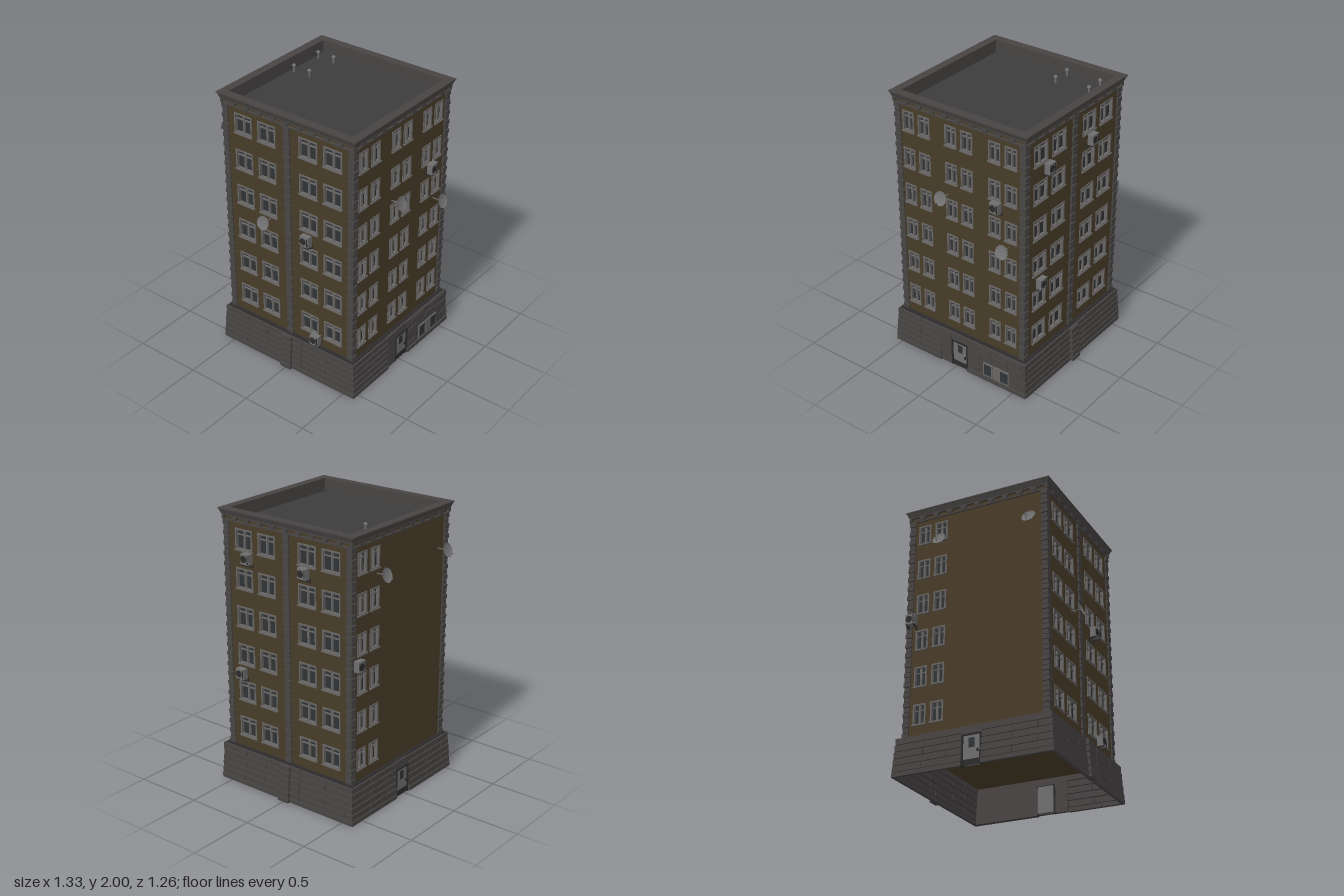
import * as THREE from 'three';
import { mergeGeometries } from 'three/addons/utils/BufferGeometryUtils.js';

const mat = (color, extra = {}) => new THREE.MeshStandardMaterial({ color, flatShading: true, ...extra });
const M = {
  wall: mat(0x483c28), stone: mat(0x484444, { side: THREE.DoubleSide }), dark: mat(0x2c2a2a, { side: THREE.DoubleSide }),
  roof: mat(0x3c3c3c), frame: mat(0x686664), glass: mat(0x303336), metal: mat(0x6e6e6e),
  dish: mat(0x707070, { side: THREE.DoubleSide }),
};
const HX = 0.535, HZ = 0.525;               // half sizes of the walls
const ROWS = [0, 1, 2, 3, 4, 5].map(i => 0.432 + i * 0.2737);

const box = (w, h, d, x = 0, y = 0, z = 0) => new THREE.BoxGeometry(w, h, d).translate(x, y, z);
const span = (x0, x1, y0, y1, z0, z1) =>
  box(x1 - x0, y1 - y0, z1 - z0, (x0 + x1) / 2, (y0 + y1) / 2, (z0 + z1) / 2);
function rod(a, b, r) {
  const curve = new THREE.LineCurve3(new THREE.Vector3(...a), new THREE.Vector3(...b));
  return new THREE.TubeGeometry(curve, 1, r, 5);
}
function add(parent, name, geo, material) {
  const mesh = new THREE.Mesh(Array.isArray(geo) ? mergeGeometries(geo) : geo, material);
  mesh.name = name;
  parent.add(mesh);
  return mesh;
}
// Four-sided ring swept from a profile of [half width, height]
function ring(profile) {
  const pts = profile.map(([r, y]) => new THREE.Vector2(r * Math.SQRT2, y));
  return new THREE.LatheGeometry(pts, 4, Math.PI / 4).scale(1, 1, HZ / HX);
}

// Wall sheet with window openings
function wall(face, half, windows, w) {
  const s = new THREE.Shape([[-half, 0.27], [half, 0.27], [half, 1.96], [-half, 1.96]].map(p => new THREE.Vector2(...p)));
  for (const u of windows) for (const y of ROWS) {
    const a = w / 2 - 0.004, b = 0.071;
    s.holes.push(new THREE.Path([[u - a, y - b], [u - a, y + b], [u + a, y + b], [u + a, y - b]].map(p => new THREE.Vector2(...p))));
  }
  add(face, 'wall', new THREE.ExtrudeGeometry(s, { depth: 0.025, bevelEnabled: false }).translate(0, 0, -0.025), M.wall);
}

// Casement window with mullion, transom and sill
function windowGeo(w) {
  const a = w / 2, b = 0.075, t = 0.011;
  return [
    span(-a, -a + t, -b, b, -0.02, 0.005), span(a - t, a, -b, b, -0.02, 0.005),
    span(-a, a, b - t, b, -0.02, 0.005), span(-a, a, -b, -b + t, -0.02, 0.005),
    span(-a - 0.003, a + 0.003, -b - 0.004, -b + 0.005, -0.01, 0.013),
    span(-0.007, 0.007, -b, b, -0.018, -0.004), span(-a, a, 0.027, 0.034, -0.018, -0.006),
  ];
}

// Air conditioner on two brackets
function airConditioner(face, u, y) {
  const g = new THREE.Group();
  g.name = 'airConditioner';
  add(g, 'case', box(0.07, 0.075, 0.042, 0, 0, 0.037), M.metal);
  const fan = new THREE.CylinderGeometry(0.025, 0.025, 0.003, 12).rotateX(Math.PI / 2).translate(-0.008, 0, 0.059);
  add(g, 'fan', [fan, box(0.008, 0.06, 0.003, 0.026, 0, 0.059)], M.dark);
  const arms = [];
  for (const x of [-0.026, 0.026])
    arms.push(box(0.006, 0.006, 0.06, x, -0.041, 0.03), box(0.006, 0.035, 0.005, x, -0.052, 0.003),
      rod([x, -0.066, 0.003], [x, -0.042, 0.052], 0.003).toNonIndexed());
  add(g, 'brackets', arms.map(a => (a.index ? a.toNonIndexed() : a)), M.dark);
  g.position.set(u, y, 0);
  face.add(g);
}

// Satellite dish tilted to the sky
function satelliteDish(face, u, y) {
  const g = new THREE.Group();
  g.name = 'satelliteDish';
  const pts = [[0, 0], [0.025, 0.002], [0.042, 0.006], [0.051, 0.01]].map(p => new THREE.Vector2(...p));
  const bowl = new THREE.LatheGeometry(pts, 12).rotateX(Math.PI / 2).rotateX(-0.36).translate(0, 0, 0.072);
  add(g, 'bowl', bowl, M.dish);
  add(g, 'arm', [rod([0, 0, 0], [0, 0, 0.074], 0.004), rod([0, -0.046, 0.098], [0, -0.012, 0.122], 0.002),
    rod([0, -0.017, 0.117], [0, -0.007, 0.127], 0.004)], M.metal);
  g.position.set(u, y, 0);
  face.add(g);
}

// Coursed stone for the base, from u0 to u1, with staggered joints
function courses(u0, u1, off, grow = 0) {
  const out = [span(u0 - grow, u1 + grow, 0, 0.03, off - 0.02, off + 0.004)];
  for (let i = 0; i < 5; i++) {
    const y = 0.035 + i * 0.048, z = off - 0.003 * i;
    const a = u0 + (u0 < -0.5 ? 0.003 * i : 0), b = u1 - (u1 > 0.5 ? 0.003 * i : 0);
    for (let x = a, k = i; x < b - 1e-6; k++) {
      let e = Math.min(b, x + 0.22 + 0.09 * ((k * 7 + i * 3) % 4));
      if (b - e < 0.06) e = b;
      out.push(span(x, e === b ? b : e - 0.005, y, y + 0.042, z - 0.02, z));
      x = e;
    }
  }
  return out;
}

function door(face, off) {
  add(face, 'doorFrame', [span(-0.072, -0.06, 0, 0.215, off - 0.03, off - 0.002), span(0.06, 0.072, 0, 0.215, off - 0.03, off - 0.002),
    span(-0.072, 0.072, 0.203, 0.215, off - 0.03, off - 0.002)], M.dark);
  add(face, 'door', span(-0.06, 0.06, 0.008, 0.203, off - 0.045, off - 0.01), M.metal);
  add(face, 'doorPane', span(-0.02, 0.02, 0.12, 0.185, off - 0.02, off - 0.008), M.glass);
  add(face, 'doorHandle', box(0.008, 0.02, 0.01, 0.045, 0.095, off - 0.006), M.dark);
}

// Frieze of notched corbels under the cornice
function frieze(face, half) {
  const s = new THREE.Shape(), n = 10, p = 2 * half / n;
  s.moveTo(-half, 1.967);
  for (let i = 0; i < n; i++) {
    const x = -half + i * p;
    s.lineTo(x, 1.925); s.lineTo(x + 0.013, 1.925); s.lineTo(x + 0.025, 1.952);
    s.lineTo(x + p - 0.025, 1.952); s.lineTo(x + p - 0.013, 1.925);
  }
  s.lineTo(half, 1.925); s.lineTo(half, 1.967);
  add(face, 'frieze', new THREE.ExtrudeGeometry(s, { depth: 0.018, bevelEnabled: false }), M.stone);
}

export function createModel() {
  const root = new THREE.Group();
  root.name = 'apartmentBlock';
  root.position.z = -0.027;
  const model = new THREE.Group();
  model.add(root);

  const wide = [-0.372, -0.172, 0.172, 0.372], narrow = [-0.426, -0.294, -0.071, 0.059, 0.284, 0.416];
  const sides = [
    { name: 'front', turn: 0, wins: wide, w: 0.15, acs: [[0.172, 1.13], [0.245, 0.342]], dishes: [[-0.16, 1.157]] },
    { name: 'leftSide', turn: 1, wins: narrow, w: 0.097, acs: [[0.316, 1.425]], dishes: [[-0.106, 1.36], [0.397, 1.135]] },
    { name: 'back', turn: 2, wins: wide, w: 0.15, acs: [[-0.319, 1.69], [0.171, 1.69], [-0.392, 0.85]], dishes: [] },
    { name: 'rightSide', turn: 3, wins: [-0.416, -0.284], w: 0.097, acs: [[-0.483, 1.128]], dishes: [[-0.26, 1.69], [0.427, 1.69]] },
  ];
  for (const { name, turn, wins, w, acs, dishes } of sides) {
    const main = turn % 2 === 0, half = main ? HX : HZ, depth = main ? HZ : HX;
    const face = new THREE.Group();
    face.name = name;
    face.rotation.y = turn * Math.PI / 2;
    face.position.set(0, 0, depth).applyAxisAngle(new THREE.Vector3(0, 1, 0), face.rotation.y);
    root.add(face);
    wall(face, half, wins, w);
    frieze(face, half + 0.018);
    const frame = mergeGeometries(windowGeo(w)), pane = box(w, 0.15, 0.004, 0, 0, -0.02);
    for (const u of wins) for (const y of ROWS) {
      add(face, 'windowFrame', frame, M.frame).position.set(u, y, 0);
      add(face, 'windowPane', pane, M.glass).position.set(u, y, 0);
    }
    acs.forEach(([u, y]) => airConditioner(face, u, y));
    dishes.forEach(([u, y]) => satelliteDish(face, u, y));

    // Stone base of this side
    const off = 0.053, end = half + off;
    if (main) {
      add(face, 'baseCourses', courses(-end, end, off), M.stone);
      const pier = [span(-0.045, 0.045, 0, 0.03, 0.03, off + 0.026)];
      for (let i = 0; i < 5; i++) pier.push(span(-0.043, 0.043, 0.035 + i * 0.048, 0.077 + i * 0.048, 0.03, off + 0.02 - i * 0.003));
      add(face, 'basePier', pier, M.stone);
      // Column of blocks up the middle
      const blocks = [];
      for (let i = 0; i < 45; i++) {
        const a = i % 2 ? 0.021 : 0.027;
        blocks.push(box(2 * a, 0.031, i % 2 ? 0.018 : 0.026, 0, 0.295 + i * 0.0365, 0.002));
      }
      add(face, 'middleBlocks', blocks, M.stone);
    } else {
      door(face, off - 0.004);
      add(face, 'doorLintel', span(-0.074, 0.074, 0.215, 0.272, 0.02, off - 0.012), M.stone);
      if (turn === 3) {
        add(face, 'baseCourses', [...courses(-end, -0.072, off), ...courses(0.072, end, off)], M.stone);
      } else {
        add(face, 'baseCourses', courses(-end, -0.165, off), M.stone);
        // Plaster with patches of bare stone
        const plaster = [span(-0.165, -0.072, 0, 0.272, 0.02, off - 0.008), span(0.072, end - 0.008, 0, 0.272, 0.02, off - 0.008),
          span(0.072, end, 0, 0.03, 0.02, off + 0.004)];
        for (const [u, y, l] of [[0.2, 0.24, 0.16], [0.44, 0.245, 0.2], [0.14, 0.175, 0.1], [0.5, 0.185, 0.12], [0.36, 0.2, 0.13], [0.13, 0.06, 0.09], [0.53, 0.09, 0.08]])
          plaster.push(box(l, 0.035, 0.012, u, y, off - 0.008));
        add(face, 'basePlaster', plaster, M.stone);
        // Cellar windows
        add(face, 'cellarFrame', [0.255, 0.328, 0.395].map((u, i) => box(i === 1 ? 0.05 : 0.082, 0.108, 0.014, u, 0.093, off - 0.006)), M.frame);
        add(face, 'cellarPane', [0.255, 0.395].map(u => box(0.062, 0.086, 0.016, u, 0.093, off - 0.006)), M.glass);
      }
    }
  }

  // Base shell, ledge and the ceiling inside the base
  add(root, 'baseShell', ring([[0.576, 0], [0.563, 0.274], [0.52, 0.278]]), M.dark);
  add(root, 'baseCeiling', box(1.1, 0.008, 1.08, 0, 0.266, 0), M.wall);

  // Corner blocks
  const quoins = [];
  for (const sx of [-1, 1]) for (const sz of [-1, 1]) for (let i = 0; i < 45; i++) {
    const s = i % 2 ? 0.042 : 0.05;
    quoins.push(box(s, 0.031, s, sx * (HX - 0.012), 0.295 + i * 0.0365, sz * (HZ - 0.012)));
  }
  add(root, 'cornerBlocks', quoins, M.stone);

  // Cornice, parapet and roof
  add(root, 'corniceBand', ring([[0.53, 1.915], [0.547, 1.915], [0.547, 1.925], [0.53, 1.927]]), M.stone);
  add(root, 'cornice', ring([[0.535, 1.962], [0.556, 1.962], [0.567, 1.992], [0.571, 1.992], [0.571, 2], [0.509, 2], [0.509, 1.9]]), M.stone);
  add(root, 'roofDeck', box(1.03, 0.01, 1.01, 0, 1.9, 0), M.roof);
  const vents = [];
  for (const x of [-0.477, -0.342]) for (const z of [-0.403, -0.133])
    vents.push(new THREE.CylinderGeometry(0.007, 0.007, 0.05, 8).translate(x, 1.93, z),
      new THREE.CylinderGeometry(0.007, 0.016, 0.012, 10).translate(x, 1.958, z));
  add(root, 'roofVents', vents, M.metal);
  return model;
}
